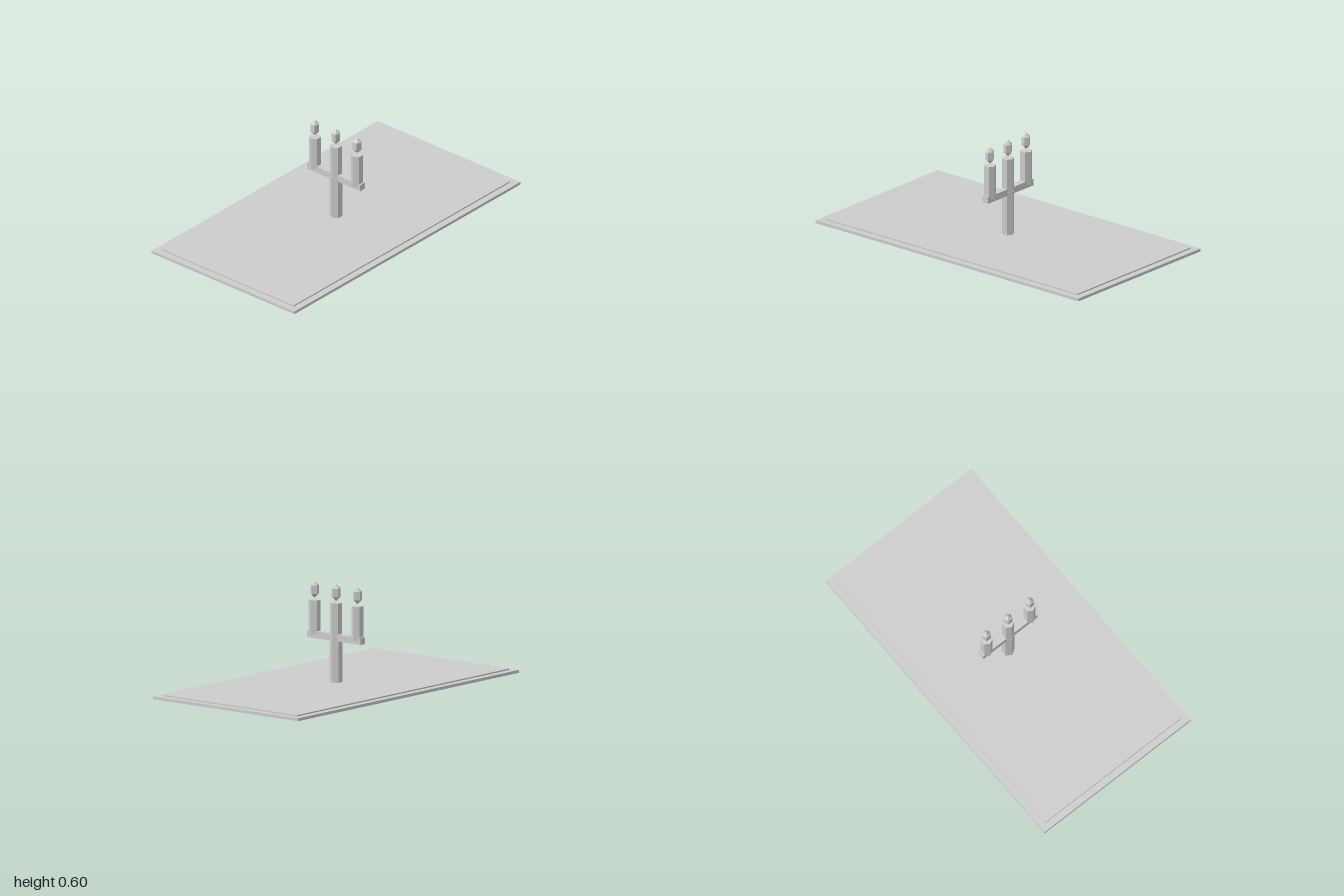
import * as THREE from 'three';

export function createModel() {
  const model = new THREE.Group();
  const stone = new THREE.MeshStandardMaterial({ color: 0xcccccc });
  stone.name = 'light grey';

  const add = (name, geometry, x, y, z = 0) => {
    // unshared corners give every facet a flat normal
    const flat = geometry.toNonIndexed();
    flat.computeVertexNormals();
    const mesh = new THREE.Mesh(flat, stone);
    mesh.name = name;
    mesh.position.set(x, y, z);
    model.add(mesh);
    return mesh;
  };
  const box = (name, w, d, y0, y1) =>
    add(name, new THREE.BoxGeometry(w, y1 - y0, d), 0, (y0 + y1) / 2);
  const hexPost = (name, r, x, y0, y1) =>
    add(name, new THREE.CylinderGeometry(r, r, y1 - y0, 6), x, (y0 + y1) / 2);

  // Two-step slab
  box('lowerSlab', 1.09, 2, 0, 0.017);
  box('upperSlab', 1.007, 1.917, 0.017, 0.025);

  // Candle holder: stem and crossbar
  hexPost('stem', 0.038, 0, 0.025, 0.29);
  box('crossbar', 0.405, 0.042, 0.268, 0.308);

  // Three candles with floating faceted flames
  const flameProfile = [[0, -0.05], [0.0265, -0.025], [0.0265, 0.025], [0, 0.05]]
    .map(([r, y]) => new THREE.Vector2(r, y));
  for (const x of [-0.161, 0, 0.161]) {
    hexPost('candle', 0.036, x, 0.288, 0.49);
    const flame = add('flame', new THREE.LatheGeometry(flameProfile, 5), x, 0.55);
    flame.rotation.y = Math.PI;
  }
  return model;
}
